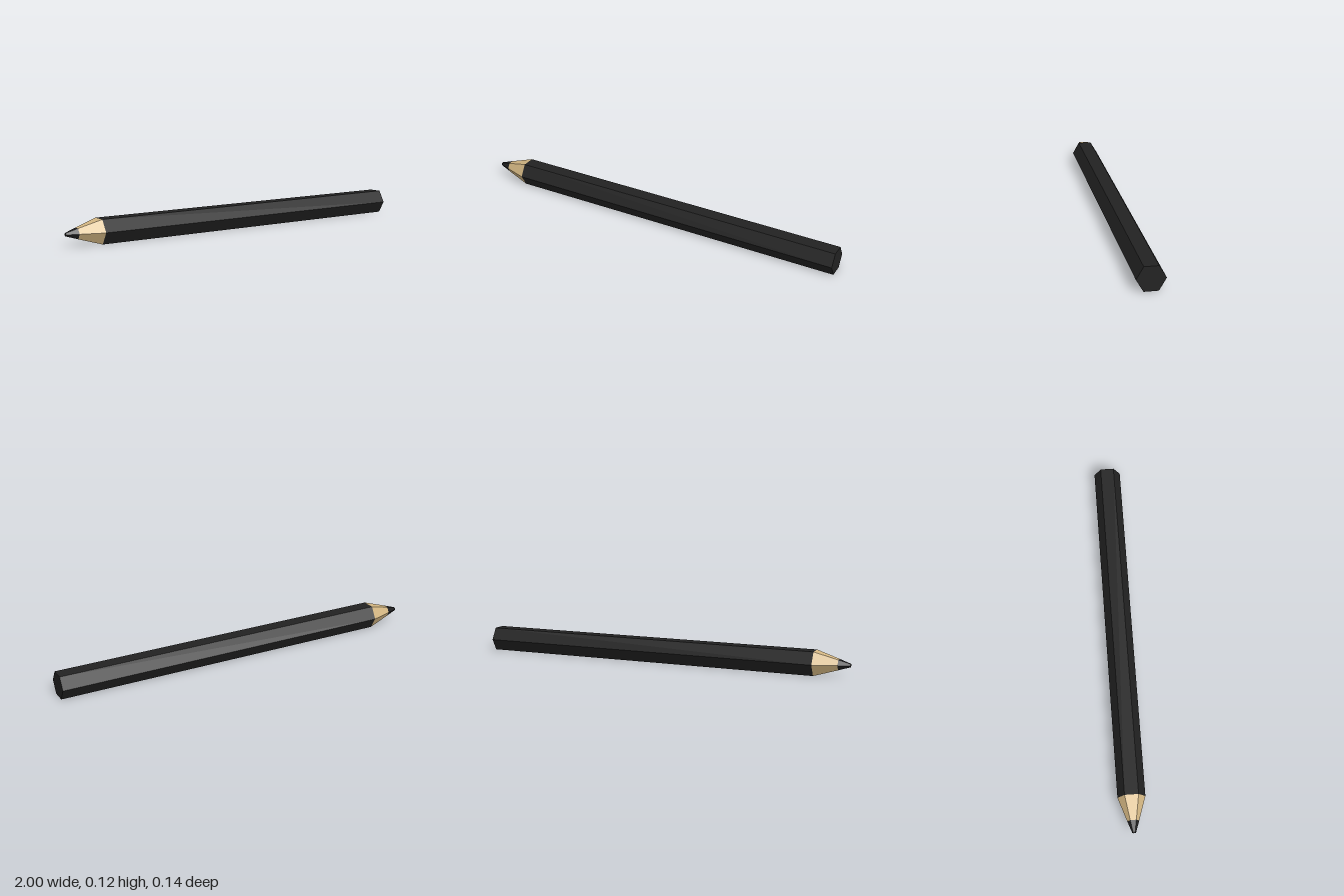
import * as THREE from 'three';

const RADIUS = 0.07;
const AXIS_HEIGHT = RADIUS * Math.cos(Math.PI / 6);

export function createModel() {
  const paint = new THREE.MeshStandardMaterial({ name: 'black paint', color: 0x222222 });
  const wood = new THREE.MeshStandardMaterial({ name: 'bare wood', color: 0xd4b783 });
  const graphite = new THREE.MeshStandardMaterial({ name: 'graphite', color: 0x1e1e1f });
  for (const m of [paint, wood, graphite]) m.flatShading = true;

  const pencil = new THREE.Group();
  pencil.name = 'pencil';

  // Six-sided section along x, corners at front and back
  function section(name, x0, x1, r0, r1, material) {
    const geometry = new THREE.CylinderGeometry(r0, r1, x1 - x0, 6);
    geometry.rotateZ(Math.PI / 2);
    const mesh = new THREE.Mesh(geometry, material);
    mesh.name = name;
    mesh.position.set((x0 + x1) / 2, AXIS_HEIGHT, 0);
    pencil.add(mesh);
  }

  // Painted shaft, sharpened wood and blunt lead point
  section('shaft', -0.82, 1, RADIUS, RADIUS, paint);
  section('sharpenedWood', -0.94, -0.82, 0.03, RADIUS, wood);
  section('leadTip', -1, -0.94, 0.009, 0.03, graphite);

  return pencil;
}
